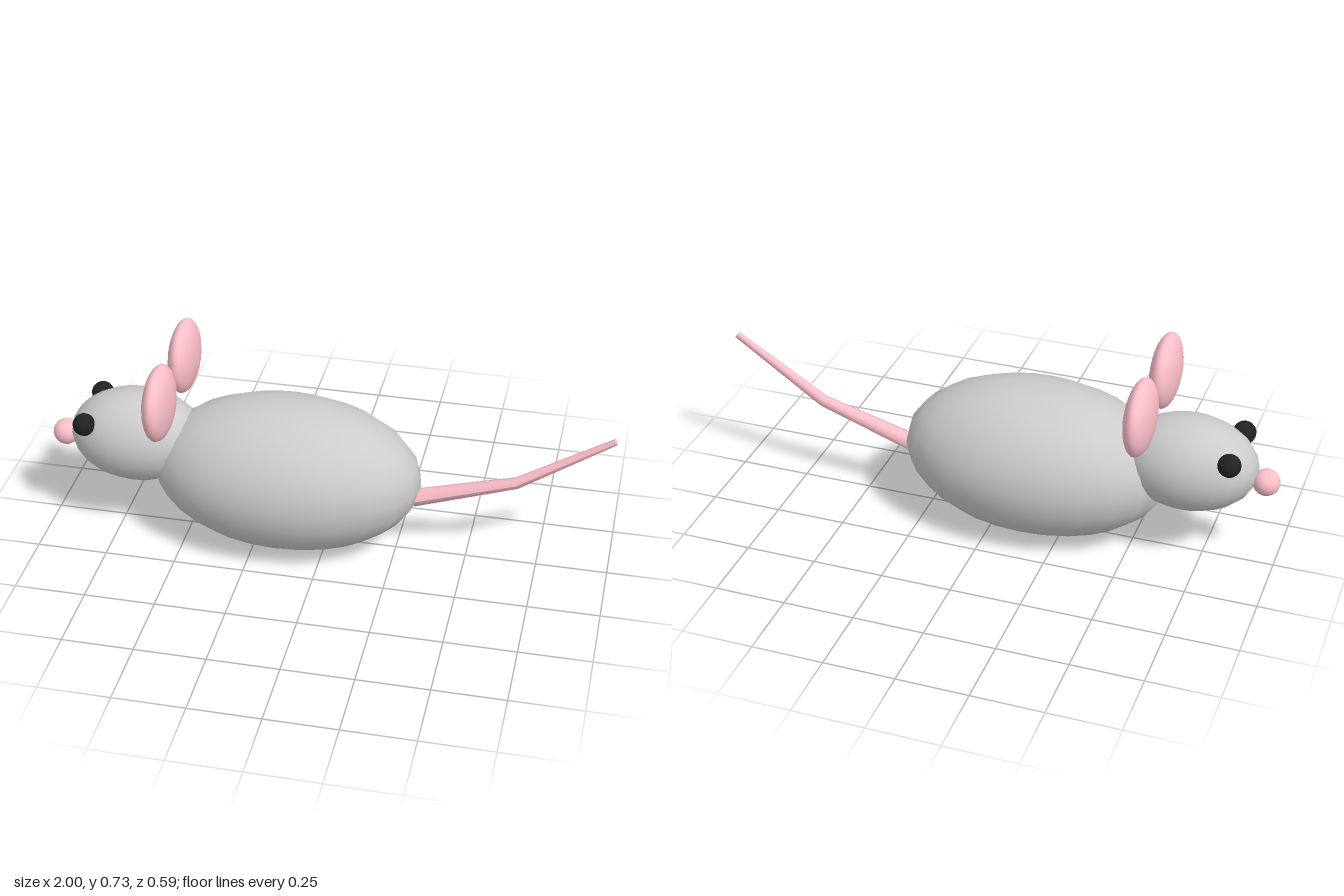
import * as THREE from 'three';

const grey = new THREE.MeshStandardMaterial({ color: 0xcccccc });
const pink = new THREE.MeshStandardMaterial({ color: 0xffc0cb });
const black = new THREE.MeshStandardMaterial({ color: 0x222222 });

// Ellipsoid given by its centre and three radii
function ellipsoid(name, material, centre, radii, rows = 12, tilt = 0) {
  const geometry = new THREE.SphereGeometry(1, 24, rows);
  const mesh = new THREE.Mesh(geometry, material);
  mesh.name = name;
  mesh.position.set(...centre);
  mesh.scale.set(...radii);
  geometry.rotateX(tilt);
  return mesh;
}

// Tapered eight-sided tail: a cylinder whose three rings follow a bent path
function makeTail() {
  const rings = [
    { x: 0.31, y: 0.224, r: 0.032, angle: 0.3 },
    { x: 0.665, y: 0.335, r: 0.021, angle: 0.45 },
    { x: 0.99, y: 0.547, r: 0.012, angle: 0.58 },
  ];
  const geometry = new THREE.CylinderGeometry(1, 1, 2, 8, 2);
  const p = geometry.attributes.position;
  for (let i = 0; i < p.count; i++) {
    const { x, y, r, angle } = rings[Math.round(p.getY(i)) + 1];
    const across = p.getX(i) * r;
    p.setXYZ(i, x + across * Math.sin(angle), y - across * Math.cos(angle), p.getZ(i) * r);
  }
  geometry.computeVertexNormals();
  const mesh = new THREE.Mesh(geometry, pink);
  mesh.name = 'tail';
  return mesh;
}

export function createModel() {
  const mouse = new THREE.Group();
  mouse.name = 'mouse';

  // Body, head and nose lie along x, the head towards -x
  mouse.add(
    ellipsoid('body', grey, [-0.145, 0.277, 0], [0.48, 0.274, 0.291]),
    ellipsoid('head', grey, [-0.685, 0.362, 0], [0.24, 0.168, 0.168]),
    ellipsoid('nose', pink, [-0.953, 0.334, 0], [0.047, 0.047, 0.047]),
    makeTail(),
  );

  // Mirrored ears and eyes
  for (const side of [1, -1]) {
    const label = side > 0 ? 'front' : 'back';
    mouse.add(
      ellipsoid(label + 'Ear', pink, [-0.55, 0.602, side * 0.163], [0.05, 0.134, 0.134], 12, side * Math.PI / 24),
      ellipsoid(label + 'Eye', black, [-0.845, 0.444, side * 0.111], [0.04, 0.04, 0.04]),
    );
  }
  return mouse;
}
